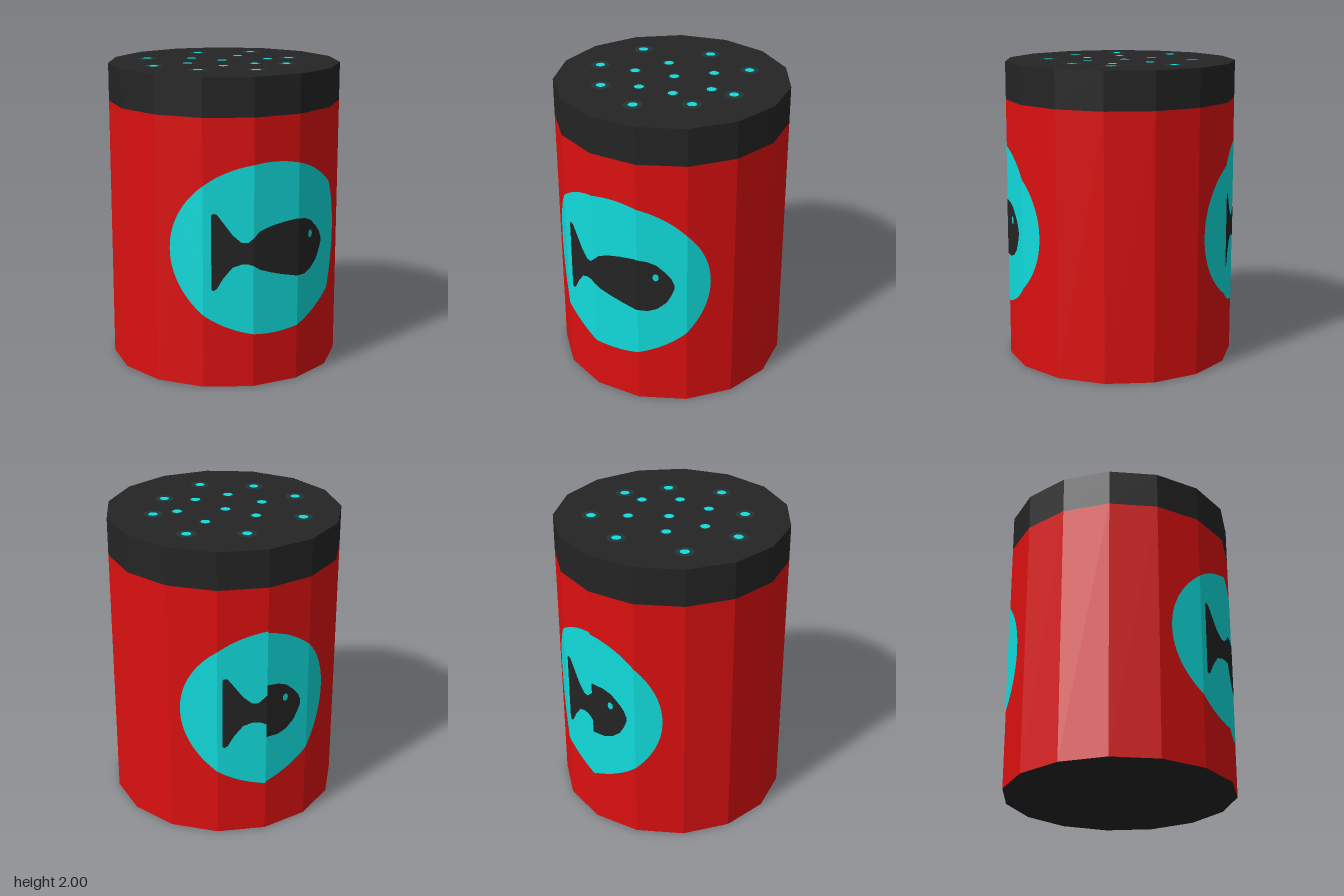
import * as THREE from 'three';

const SIDES = 15, R = 0.765, STEP = 360 / SIDES, FOLD = STEP / 2;
const rad = THREE.MathUtils.degToRad;

function material(name, color) {
  const m = new THREE.MeshStandardMaterial({ color });
  m.name = name;
  return m;
}

// point on the flat-sided wall at an angle from the front towards +x
function wall(angle, off) {
  const k = Math.floor((angle - FOLD) / STEP + 1e-6);
  const a = rad(FOLD + k * STEP), b = rad(FOLD + (k + 1) * STEP);
  const t = (angle - FOLD) / STEP - k, r = R + off;
  return [
    r * THREE.MathUtils.lerp(Math.sin(a), Math.sin(b), t),
    r * THREE.MathUtils.lerp(Math.cos(a), Math.cos(b), t),
  ];
}

// wall angle whose projected x on the front is given
function angleAtX(x) {
  const s = Math.abs(x), x0 = R * Math.sin(rad(12)), x1 = R * Math.sin(rad(36));
  return Math.sign(x) * (s < x0 ? 12 * s / x0 : 12 + 24 * (s - x0) / (x1 - x0));
}

// thin decal made of vertical slices; span(u) gives [top, bottom]
function decal(u0, u1, span, off, place) {
  const pos = [], du = 0.25;
  for (let u = u0; u < u1 - 1e-6; u += du) {
    const a = place(u, u + du);
    if (a === null) continue;
    const [x0, z0] = wall(a, off), [x1, z1] = wall(a + du, off);
    const [t0, b0] = span(u), [t1, b1] = span(u + du);
    pos.push(x0, b0, z0, x1, b1, z1, x0, t0, z0);
    pos.push(x0, t0, z0, x1, b1, z1, x1, t1, z1);
  }
  const g = new THREE.BufferGeometry();
  g.setAttribute('position', new THREE.Float32BufferAttribute(pos, 3));
  g.computeVertexNormals();
  return g;
}

const ellipse = (cu, cy, ru, ry) => (u) => {
  const h = ry * Math.sqrt(Math.max(0, 1 - ((u - cu) / ru) ** 2));
  return [cy + h, cy - h];
};

// fish outline: x, top, bottom
const FISH = [
  [-0.402, 1.14, 0.66], [-0.39, 1.15, 0.647], [-0.37, 1.145, 0.66], [-0.333, 1.09, 0.73],
  [-0.28, 1.01, 0.80], [-0.228, 0.96, 0.82], [-0.19, 0.96, 0.82], [-0.16, 0.99, 0.81],
  [-0.116, 1.03, 0.78], [-0.04, 1.055, 0.753], [0.037, 1.07, 0.73], [0.143, 1.082, 0.705],
  [0.22, 1.07, 0.70], [0.275, 1.045, 0.72], [0.33, 0.99, 0.77], [0.36, 0.95, 0.83], [0.378, 0.9, 0.88],
].map(([x, t, b]) => [angleAtX(x), t, b]);

function fishSpan(u) {
  let i = 0;
  while (i < FISH.length - 2 && u > FISH[i + 1][0]) i++;
  const p = FISH[i], q = FISH[i + 1];
  const t = THREE.MathUtils.clamp((u - p[0]) / (q[0] - p[0]), 0, 1);
  return [THREE.MathUtils.lerp(p[1], q[1], t), THREE.MathUtils.lerp(p[2], q[2], t)];
}

// lid spots: x, z
const SPOTS = [
  [0.03, -0.48], [-0.41, -0.34], [0.38, -0.355], [-0.14, -0.21], [0.2, -0.2],
  [0, -0.03], [-0.27, 0.01], [-0.52, 0.035], [0.305, 0.04], [0.465, 0.045],
  [-0.115, 0.225], [0.12, 0.21], [0.305, 0.3], [-0.34, 0.32], [-0.01, 0.48],
];

export function createModel() {
  const red = material('red', 0xdc1010);
  const teal = material('teal', 0x11dcdc);
  const black = material('black', 0x242424);
  const dim = material('dark teal', 0x223636);
  const model = new THREE.Group();
  model.name = 'shakerCan';

  const add = (name, geometry, mat, parent = model) => {
    const mesh = new THREE.Mesh(geometry, mat);
    mesh.name = name;
    parent.add(mesh);
    return mesh;
  };

  // faceted prism with a flat side at the front
  const prism = (y0, y1, open) => {
    const g = new THREE.CylinderGeometry(R, R, y1 - y0, SIDES, 1, open)
      .rotateY(Math.PI).translate(0, (y0 + y1) / 2, 0).toNonIndexed();
    g.computeVertexNormals();
    return g;
  };
  add('body', prism(0, 1.75, true), red);
  add('lid', prism(1.75, 1.998, false), black);
  const base = new THREE.CircleGeometry(R, SIDES, Math.PI / 2).rotateX(Math.PI / 2);
  base.rotateY(Math.PI); // corner at the back, like the wall
  base.computeBoundingBox();
  if (base.boundingBox.max.z > 0.76) base.rotateY(Math.PI);
  add('base', base, black);

  // emblems: whole on the front, narrowed at the seam on the back
  const CUT = 10.5;
  const places = {
    front: (u) => u,
    back: (u, v) => (v <= -CUT ? 180 + u + CUT : u >= CUT ? 180 + u - CUT : null),
  };
  for (const [side, place] of Object.entries(places)) {
    const emblem = new THREE.Group();
    emblem.name = side + 'Emblem';
    model.add(emblem);
    add('disc', decal(-53, 48, ellipse(-2.5, 0.905, 50.5, 0.56), 0.002, place), teal, emblem);
    add('fish', decal(-32, 30, fishSpan, 0.004, place), black, emblem);
    add('fishEye', decal(19.5, 22.5, ellipse(21, 0.957, 1.5, 0.026), 0.006, place), teal, emblem);
  }

  // lid spots with dim rims
  for (const [x, z] of SPOTS) {
    const rim = Math.hypot(x, z) > 0.4 ? 0.062 : 0.042;
    const disc = (r, y) => new THREE.CircleGeometry(r, 16).rotateX(-Math.PI / 2).translate(x, y, z);
    add('spotRim', disc(rim, 1.999), dim);
    add('spot', disc(0.031, 2), teal);
  }
  return model;
}
